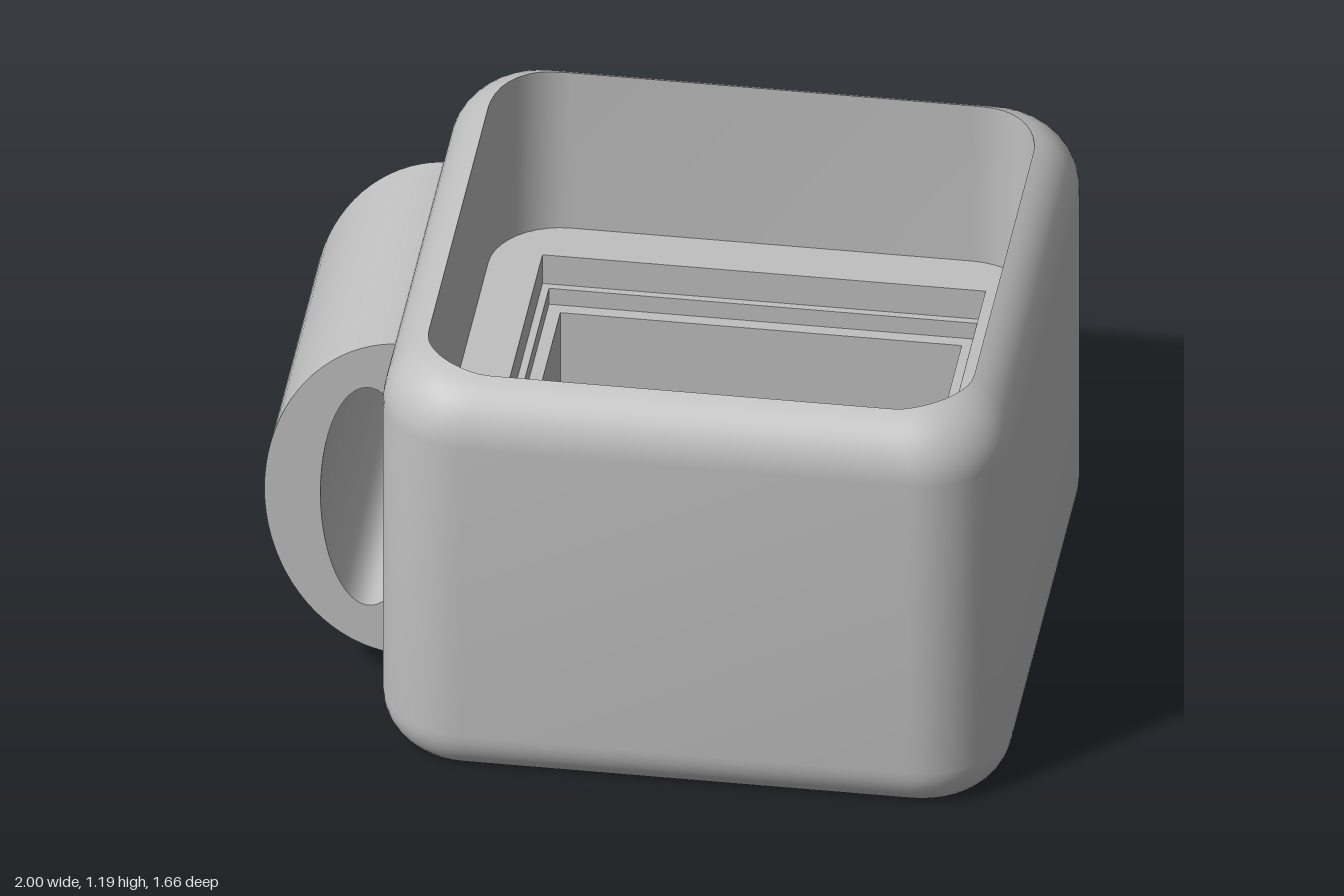
import * as THREE from 'three';
import { toCreasedNormals } from 'three/addons/utils/BufferGeometryUtils.js';

const CX = 0.17, HALF = 0.83, CORNER = 0.24;

// Ring of points around a rounded square; radius equal to half gives a circle.
function ring(half, radius, y, x = 0, z = 0, n = 10) {
  const pts = [];
  for (let q = 0; q < 4; q++) {
    const mid = (q + 0.5) * Math.PI / 2;
    const ox = Math.sign(Math.cos(mid)) * (half - radius);
    const oz = Math.sign(Math.sin(mid)) * (half - radius);
    for (let i = 0; i <= n; i++) {
      const a = (q + i / n) * Math.PI / 2;
      pts.push(new THREE.Vector3(x + ox + radius * Math.cos(a), y, z + oz + radius * Math.sin(a)));
    }
  }
  return pts;
}

// Skin between successive rings; rising rings face outward.
function loft(rings) {
  const n = rings[0].length, index = [];
  for (let r = 0; r < rings.length - 1; r++) {
    for (let j = 0; j < n; j++) {
      const a = r * n + j, b = r * n + (j + 1) % n;
      index.push(a, a + n, b, b, a + n, b + n);
    }
  }
  const geo = new THREE.BufferGeometry().setFromPoints(rings.flat());
  geo.setIndex(index);
  return toCreasedNormals(geo, 0.5);
}

const toShape = pts => new THREE.Shape(pts.map(p => new THREE.Vector2(p.x, p.z)));

function circlePath(r, x = 0, z = 0) {
  return new THREE.Path().absarc(x, z, r, 0, Math.PI * 2, true);
}

export function createModel() {
  const model = new THREE.Group();
  const grey = new THREE.MeshStandardMaterial({ color: 0xc0c0c0 });
  const body = new THREE.Group();
  body.name = 'body';
  body.position.x = CX;
  model.add(body);
  const add = (parent, name, geo) => {
    const mesh = new THREE.Mesh(geo, grey);
    mesh.name = name;
    parent.add(mesh);
    return mesh;
  };

  const LEDGE = 0.69, FLOOR = 0.27, TOP = 1.192, R = 0.18;
  const rings = [];

  // Lower edge: part of a rounded fillet cut off by the flat base
  const BR = 0.15, baseInset = 0.05, baseRise = 0.112;
  for (let i = 0; i <= 6; i++) {
    const a = Math.acos((BR - baseInset) / BR) * (1 - i / 6);
    const d = BR * (1 - Math.cos(a));
    rings.push(ring(HALF - d, CORNER - d, baseRise - BR * Math.sin(a)));
  }

  // Upper fillet, running from the outer wall to the mouth
  const outer = ring(HALF, CORNER, 0), mouth = ring(HALF - 0.11, 0.19, 0);
  const k = HALF - CORNER;
  for (let i = 0; i <= 10; i++) {
    const t = (i / 10) ** 2;
    rings.push(outer.map((p, j) => {
      const q = p.clone().lerp(mouth[j], t);
      const d = CORNER - Math.hypot(Math.max(Math.abs(q.x) - k, 0), Math.max(Math.abs(q.z) - k, 0));
      q.y = TOP - R + Math.sqrt(Math.max(0, R * R - (R - d) ** 2));
      return q;
    }));
  }

  // Inner wall, ledge and the stepped square well
  rings.push(ring(HALF - 0.11, 0.19, LEDGE));
  for (const [h, y] of [[0.585, LEDGE], [0.585, 0.6], [0.565, 0.6], [0.565, 0.55], [0.53, 0.55], [0.53, FLOOR]]) {
    rings.push(ring(h, 0, y));
  }
  add(body, 'shell', loft(rings));

  // Base with the drain hole
  const base = toShape(ring(HALF - baseInset, CORNER - baseInset, 0));
  base.holes.push(circlePath(0.15));
  add(body, 'base', new THREE.ShapeGeometry(base, 24).rotateX(Math.PI / 2));

  // Well floor with the drain hole and four small blind holes
  const sockets = [[0.185, -0.38, 0.057], [-0.295, -0.185, 0.057], [-0.39, 0.005, 0.065], [0.38, 0.005, 0.065]];
  const floor = new THREE.Shape([[-1, -1], [1, -1], [1, 1], [-1, 1]].map(([x, y]) => new THREE.Vector2(x * 0.53, y * 0.53)));
  floor.holes.push(circlePath(0.15), ...sockets.map(([x, z, r]) => circlePath(r, x, -z)));
  add(body, 'wellFloor', new THREE.ShapeGeometry(floor, 24).rotateX(-Math.PI / 2).translate(0, FLOOR, 0));
  add(body, 'drainHole', loft([ring(0.15, 0.15, FLOOR), ring(0.15, 0.15, 0)]));
  for (const [x, z, r] of sockets) {
    add(body, 'socket', loft([ring(r, r, FLOOR, x, z), ring(r, r, 0.12, x, z), ring(0, 0, 0.12, x, z)]));
  }

  // Wide handle: a band between two ellipses, ending inside the wall
  const pts = [];
  const arc = (x, rx, ry, from, to) => {
    for (let i = 0; i <= 40; i++) {
      const a = from + (to - from) * i / 40;
      pts.push(new THREE.Vector2(x + rx * Math.cos(a), 0.57 + ry * Math.sin(a)));
    }
  };
  arc(-0.63, 0.37, 0.487, Math.PI / 2, Math.PI * 1.5);
  arc(-0.725, 0.127, 0.342, Math.PI * 2 - 0.8, 0.8);
  const band = new THREE.ExtrudeGeometry(new THREE.Shape(pts), { depth: 0.865, bevelEnabled: false });
  add(model, 'handle', toCreasedNormals(band.translate(0, 0, -0.4375), 0.5));

  return model;
}
